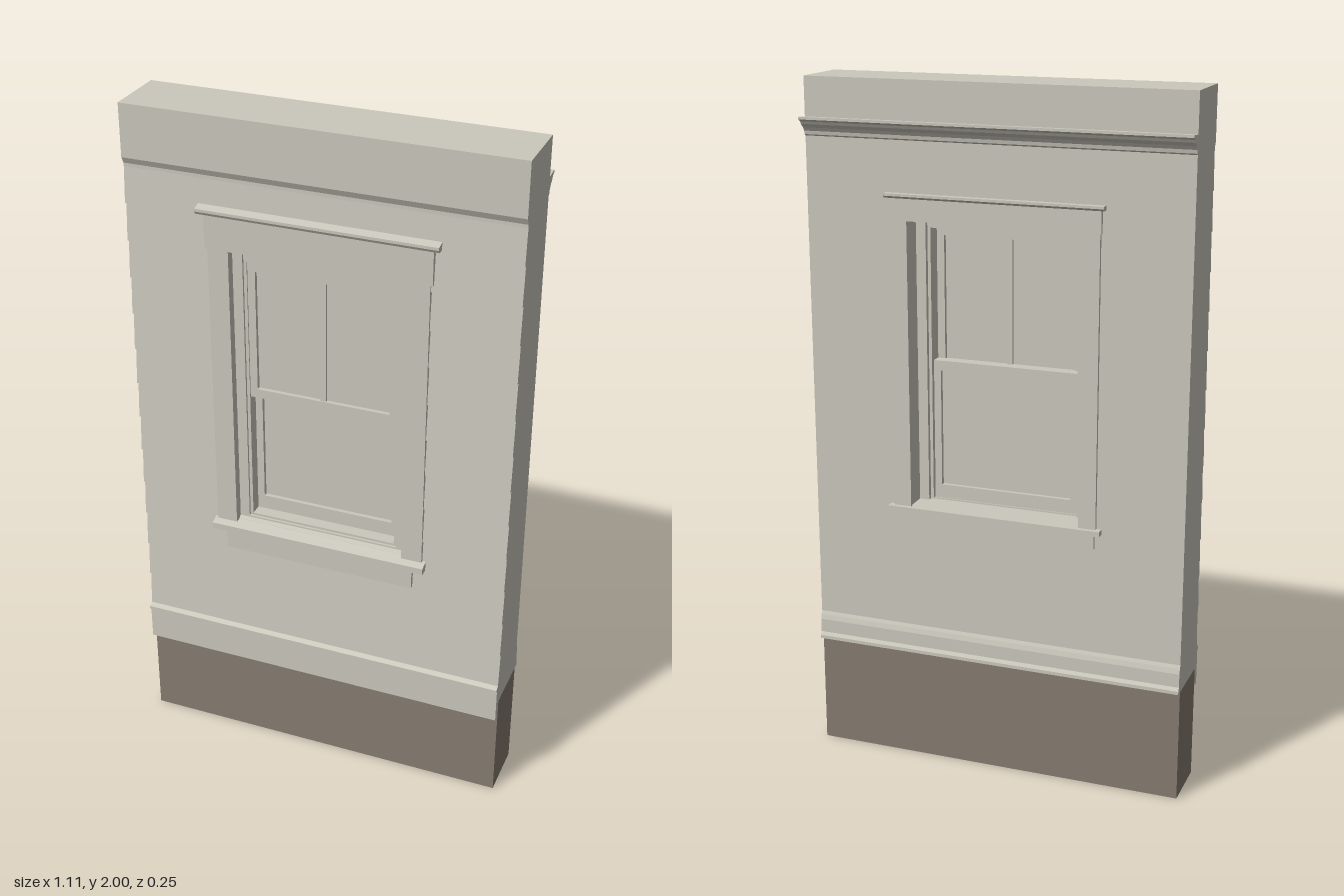
import * as THREE from 'three';

const WIDTH = 1.11, FRONT = 0.09, BACK = -0.087;

export function createModel() {
  const model = new THREE.Group();
  model.name = 'wallSectionWithWindow';
  const paint = new THREE.MeshStandardMaterial({ name: 'warm off-white', color: 0xcbc8bc });
  const stone = new THREE.MeshStandardMaterial({ name: 'foundation brown', color: 0x867b71 });

  const add = (name, geometry, material = paint, parent = model) => {
    const mesh = new THREE.Mesh(geometry, material);
    mesh.name = name;
    parent.add(mesh);
    return mesh;
  };
  const group = (name) => {
    const g = new THREE.Group();
    g.name = name;
    model.add(g);
    return g;
  };
  // Box given by its limits on each axis
  const box = (name, x0, x1, y0, y1, z0, z1, parent = model, material = paint) =>
    add(name, new THREE.BoxGeometry(x1 - x0, y1 - y0, z1 - z0)
      .translate((x0 + x1) / 2, (y0 + y1) / 2, (z0 + z1) / 2), material, parent);
  // Moulding: a (z, y) profile run along x
  const moulding = (name, profile, x0, x1, parent = model) => {
    const shape = new THREE.Shape(profile.map(([z, y]) => new THREE.Vector2(z, y)));
    const geometry = new THREE.ExtrudeGeometry(shape, { depth: x1 - x0, bevelEnabled: false });
    return add(name, geometry.rotateY(-Math.PI / 2).translate(x1, 0, 0), paint, parent);
  };
  // Rectangular ring: outer and inner are [x0, x1, y0, y1]
  const ring = (name, outer, inner, z0, z1, parent = model) => {
    const corners = ([a, b, c, d]) => [[a, c], [b, c], [b, d], [a, d]].map(p => new THREE.Vector2(...p));
    const shape = new THREE.Shape(corners(outer));
    shape.holes.push(new THREE.Path(corners(inner)));
    const geometry = new THREE.ExtrudeGeometry(shape, { depth: z1 - z0, bevelEnabled: false });
    return add(name, geometry.translate(0, 0, z0), paint, parent);
  };
  const half = WIDTH / 2;

  // Foundation and wall body with the window opening
  box('foundation', -half, half, 0, 0.335, -0.082, 0.084, model, stone);
  ring('wallBody', [-half, half, 0.335, 2], [-0.255, 0.255, 0.775, 1.63], BACK, FRONT);

  // Clapboards, each thicker at its lower edge, interrupted at the window
  const siding = group('siding');
  const bottom = 0.40, count = 13, step = (1.83 - bottom) / count;
  for (let i = 0; i < count; i++) {
    const y0 = bottom + i * step, y1 = y0 + step;
    const profile = [[0.085, y0], [0.1, y0], [0.092, y1], [0.085, y1]];
    const spans = y1 > 0.775 && y0 < 1.63 ? [[-half, -0.29], [0.29, half]] : [[-half, half]];
    for (const [x0, x1] of spans) moulding('clapboard', profile, x0, x1, siding);
  }

  // Frieze and water table on the outside
  moulding('frieze', [[0.085, 1.822], [0.094, 1.822], [0.094, 1.832], [0.103, 1.85],
    [0.103, 2], [0.085, 2]], -half, half);
  box('skirtBoard', -half, half, 0.28, 0.388, 0.084, 0.107);
  moulding('skirtCap', [[0.085, 0.385], [0.114, 0.385], [0.114, 0.395], [0.095, 0.404],
    [0.085, 0.404]], -half, half);

  // Crown rail and baseboard on the inside
  moulding('crownRail', [[BACK, 1.838], [-0.092, 1.842], [-0.094, 1.852], [-0.101, 1.862],
    [-0.112, 1.872], [-0.117, 1.88], [-0.128, 1.886], [-0.128, 1.893], [BACK, 1.89]], -half, half);
  moulding('baseboard', [[BACK, 0.335], [-0.101, 0.335], [-0.101, 0.345], [-0.095, 0.355],
    [-0.095, 0.395], [-0.091, 0.41], [BACK, 0.42]], -half, half);

  // Outside window trim
  const outer = group('outsideTrim');
  for (const s of [-1, 1]) {
    const [a, b] = s < 0 ? [-0.313, -0.253] : [0.253, 0.313];
    box('outsideCasing', a, b, 0.775, 1.63, 0.085, 0.106, outer);
  }
  box('outsideHead', -0.32, 0.32, 1.63, 1.735, 0.085, 0.108, outer);
  moulding('outsideHeadCap', [[0.085, 1.73], [0.118, 1.73], [0.123, 1.738], [0.123, 1.746],
    [0.085, 1.755]], -0.338, 0.338, outer);
  moulding('outsideSill', [[0.085, 0.747], [0.125, 0.747], [0.125, 0.767], [0.085, 0.778]],
    -0.323, 0.323, outer);
  moulding('sillSlope', [[-0.01, 0.765], [0.09, 0.765], [0.09, 0.777], [-0.01, 0.797]],
    -0.255, 0.255, outer);
  box('outsideApron', -0.285, 0.285, 0.68, 0.75, 0.085, 0.106, outer);

  // Inside window trim
  const inner = group('insideTrim');
  for (const s of [-1, 1]) {
    const [a, b] = s < 0 ? [-0.303, -0.252] : [0.252, 0.303];
    box('insideCasing', a, b, 0.785, 1.62, -0.097, BACK, inner);
  }
  box('insideHead', -0.306, 0.306, 1.62, 1.685, -0.098, BACK, inner);
  moulding('insideHeadCap', [[BACK, 1.682], [-0.102, 1.682], [-0.108, 1.688], [-0.108, 1.695],
    [BACK, 1.695]], -0.315, 0.315, inner);
  box('insideStool', -0.318, 0.318, 0.778, 0.793, -0.111, BACK, inner);
  box('stoolLedge', -0.255, 0.255, 0.77, 0.793, BACK, 0, inner);
  box('insideApron', -0.298, 0.298, 0.733, 0.778, -0.096, BACK, inner);

  // Jamb frame stepping in towards the sashes
  const frame = group('windowFrame');
  ring('jamb', [-0.256, 0.256, 0.77, 1.632], [-0.226, 0.226, 0.785, 1.615], -0.025, 0.075, frame);
  ring('sashTrack', [-0.228, 0.228, 0.78, 1.618], [-0.217, 0.217, 0.792, 1.59], -0.012, 0.068, frame);

  // Upper sash outside, lower sash inside
  const upper = group('upperSash');
  ring('upperSashRails', [-0.22, 0.22, 1.178, 1.592], [-0.195, 0.195, 1.205, 1.563], 0.034, 0.064, upper);
  box('upperPane', -0.2, 0.2, 1.2, 1.57, 0.046, 0.052, upper);
  box('muntin', -0.008, 0.008, 1.2, 1.57, 0.038, 0.06, upper);
  const lower = group('lowerSash');
  ring('lowerSashRails', [-0.22, 0.22, 0.79, 1.207], [-0.196, 0.196, 0.835, 1.178], 0.002, 0.032, lower);
  box('lowerPane', -0.2, 0.2, 0.83, 1.185, 0.014, 0.02, lower);

  return model;
}
